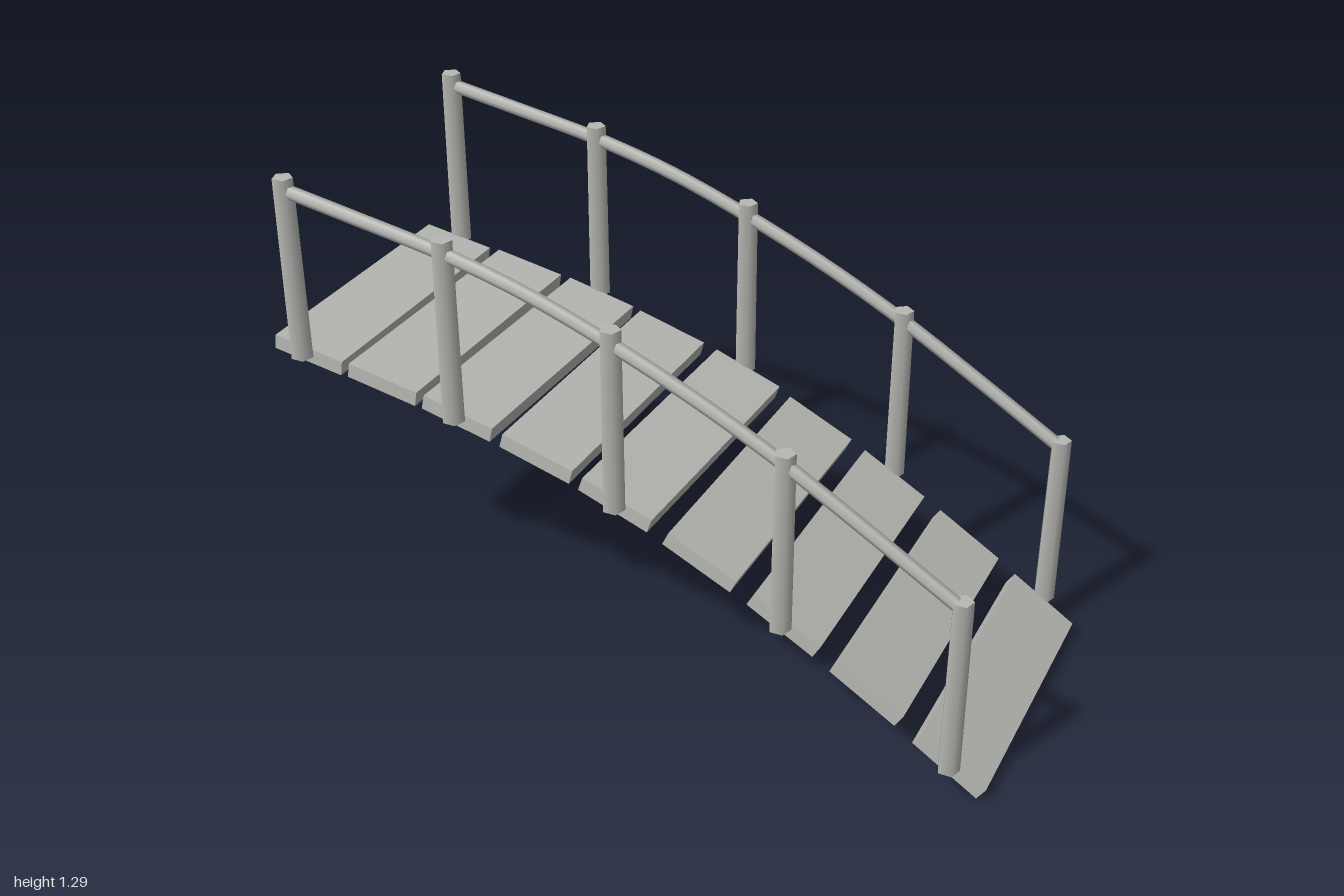
import * as THREE from 'three';

const grey = new THREE.MeshStandardMaterial({ color: 0xb8b8b4 });
grey.name = 'weathered grey wood';

// Plank centre x, centre y, downward slope (degrees) and slight yaw (radians)
const PLANKS = [
  [-0.897, 0.78, 9, 0],
  [-0.67, 0.747, 9.5, -0.012],
  [-0.446, 0.704, 12, -0.024],
  [-0.224, 0.646, 15, -0.014],
  [0.002, 0.572, 19, -0.029],
  [0.227, 0.47, 25, -0.01],
  [0.451, 0.353, 29.5, 0],
  [0.674, 0.22, 31.5, 0],
  [0.896, 0.075, 33, 0],
];

// Post x and foot height; every post is equally tall
const POSTS = [[-0.9, 0.785], [-0.45, 0.711], [0, 0.575], [0.45, 0.358], [0.9, 0.083]];
const POST_HEIGHT = 0.502;
const SIDE_Z = 0.39;

function addMesh(parent, name, geometry) {
  const mesh = new THREE.Mesh(geometry, grey);
  mesh.name = name;
  parent.add(mesh);
  return mesh;
}

export function createModel() {
  const model = new THREE.Group();
  model.name = 'footbridge';

  // Walkway of separate planks following the falling arc
  const deck = new THREE.Group();
  deck.name = 'deck';
  model.add(deck);
  const plankGeometry = new THREE.BoxGeometry(0.205, 0.041, 0.74);
  PLANKS.forEach(([x, y, slope, yaw], i) => {
    const plank = addMesh(deck, `plank${i + 1}`, plankGeometry);
    plank.position.set(x, y, 0);
    plank.rotation.set(0, yaw, -THREE.MathUtils.degToRad(slope), 'YZX');
  });

  // Five-sided posts and a bent handrail on each side
  const postGeometry = new THREE.CylinderGeometry(0.027, 0.029, POST_HEIGHT, 5);
  postGeometry.rotateY(Math.PI);
  const railPath = new THREE.CatmullRomCurve3(
    [[-0.9, 1.252], [-0.675, 1.215], [-0.45, 1.176], [-0.225, 1.119], [0, 1.038],
      [0.225, 0.942], [0.45, 0.829], [0.675, 0.698], [0.9, 0.562]]
      .map(([x, y]) => new THREE.Vector3(x, y, 0)));
  const railGeometry = new THREE.TubeGeometry(railPath, 24, 0.018, 6);

  for (const [side, sign] of [['left', 1], ['right', -1]]) {
    const railing = new THREE.Group();
    railing.name = sign > 0 ? 'frontRailing' : 'backRailing';
    railing.position.z = sign * SIDE_Z;
    model.add(railing);
    POSTS.forEach(([x, foot], i) => {
      addMesh(railing, `post${i + 1}`, postGeometry).position.set(x, foot + POST_HEIGHT / 2, 0);
    });
    addMesh(railing, 'handrail', railGeometry);
  }

  return model;
}
